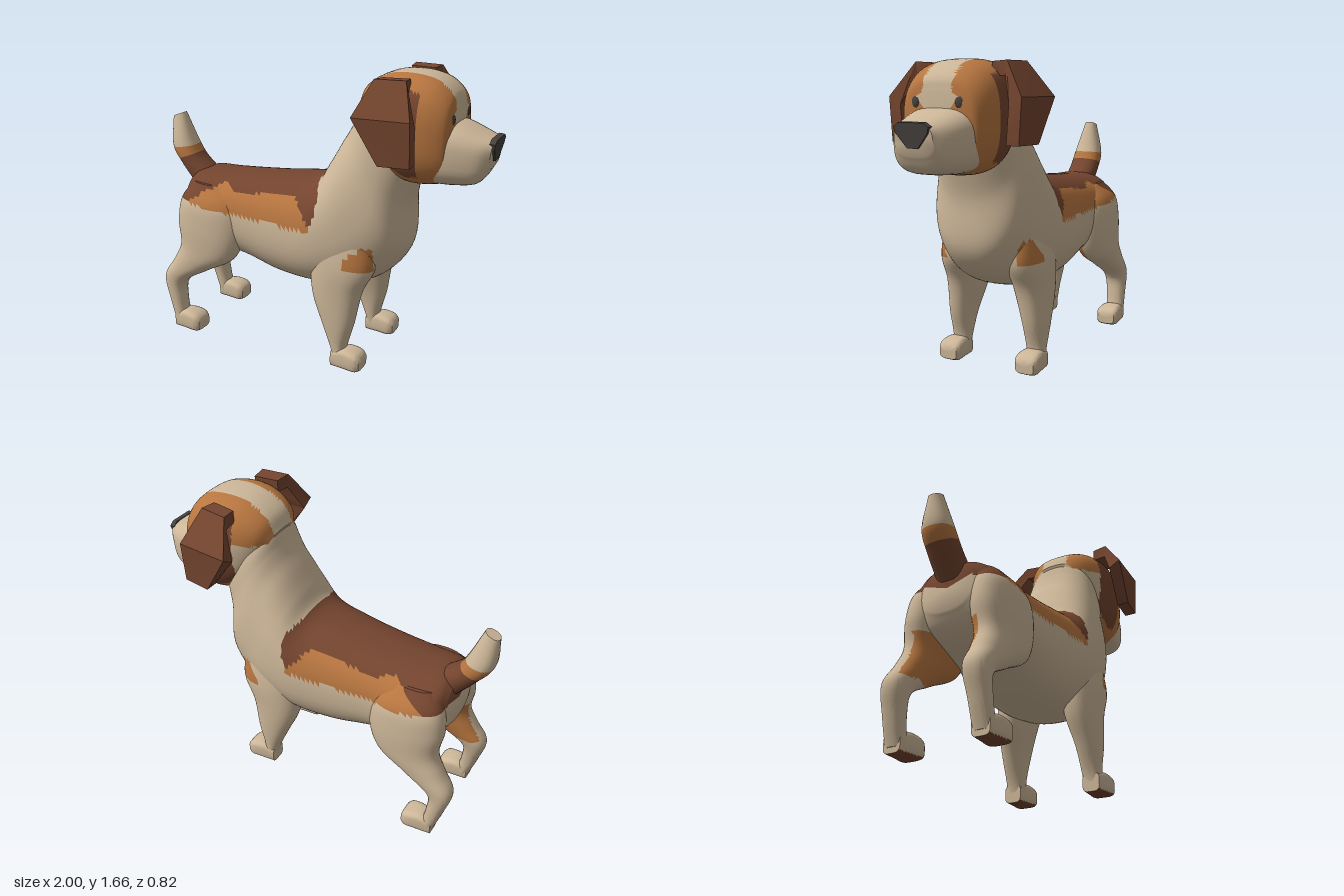
import * as THREE from 'three';
import { toCreasedNormals } from 'three/addons/utils/BufferGeometryUtils.js';

const mat = (name, color) => Object.assign(new THREE.MeshStandardMaterial({ color }), { name });
const CREAM = 0, TAN = 1, BROWN = 2, DARK = 3;
const materials = [mat('cream', 0xcdb799), mat('tan', 0xb87640), mat('brown', 0x74452f), mat('charcoal', 0x46423d)];

// Piecewise linear interpolation through [x, y] points
function along(points, x) {
  if (x <= points[0][0]) return points[0][1];
  for (let i = 1; i < points.length; i++) {
    const [x0, y0] = points[i - 1], [x1, y1] = points[i];
    if (x <= x1) return y0 + (y1 - y0) * (x - x0) / (x1 - x0);
  }
  return points[points.length - 1][1];
}

// Rounded ring spanned by two points in the xy plane and a half width in z
function ring([ax, ay, bx, by, w, z = 0], n, power) {
  const soft = v => Math.sign(v) * Math.abs(v) ** (2 / power);
  return Array.from({ length: n }, (_, j) => {
    const t = j / n * Math.PI * 2, c = soft(Math.cos(t)) / 2, s = soft(Math.sin(t));
    return new THREE.Vector3((ax + bx) / 2 + (ax - bx) * c, (ay + by) / 2 + (ay - by) * c, z + s * w);
  });
}

// Closed skin through rings; paint(x, y, z, u) picks the material of each face
function skin(name, rings, steps, paint, crease = 0.8) {
  const n = rings[0].length, rows = (rings.length - 1) * steps, pts = [], tris = [];
  const curves = rings[0].map((_, j) => new THREE.CatmullRomCurve3(rings.map(r => r[j])));
  for (let i = 0; i <= rows; i++) for (const c of curves) pts.push(c.getPoint(i / rows));
  for (let i = 0; i < rows; i++) for (let j = 0; j < n; j++) {
    const a = i * n + j, b = i * n + (j + 1) % n;
    tris.push([a, b, b + n, i], [a, b + n, a + n, i]);
  }
  for (const row of [0, rows]) {
    const mid = new THREE.Vector3();
    for (let j = 0; j < n; j++) mid.addScaledVector(pts[row * n + j], 1 / n);
    const m = pts.push(mid) - 1;
    for (let j = 0; j < n; j++) {
      const a = row * n + j, b = row * n + (j + 1) % n;
      tris.push(row ? [a, b, m, row] : [b, a, m, row]);
    }
  }
  // Turn all faces outwards
  const v = new THREE.Vector3();
  const volume = tris.reduce((s, [a, b, c]) => s + pts[a].dot(v.crossVectors(pts[b], pts[c])), 0);
  const buckets = materials.map(() => []);
  for (const [a, b, c, i] of tris) {
    v.copy(pts[a]).add(pts[b]).add(pts[c]).divideScalar(3);
    buckets[paint(v.x, v.y, v.z, i / steps)].push(...(volume > 0 ? [a, b, c] : [a, c, b]));
  }
  const geo = new THREE.BufferGeometry().setFromPoints(pts);
  geo.setIndex(buckets.flat());
  let start = 0;
  buckets.forEach((b, k) => {
    if (b.length) geo.addGroup(start, b.length, k);
    start += b.length;
  });
  const mesh = new THREE.Mesh(toCreasedNormals(geo, crease), materials);
  mesh.name = name;
  return mesh;
}

const loft = (name, sections, paint, { n = 40, power = 2.3, steps = 6 } = {}) =>
  skin(name, sections.map(s => ring(s, n, power)), steps, paint);

// Coat markings shared by torso and legs
const saddleEdge = [[-0.85, 0.84], [-0.74, 0.84], [-0.53, 0.95], [-0.43, 0.91], [-0.05, 0.96], [0.06, 0.83], [0.09, 0.79]];
const patchEdge = [[-0.8, 0.84], [-0.45, 0.79], [0.1, 0.79]];
function coat(x, y, z) {
  const front = along([[0.8, 0.07], [0.9, 0.105], [1, 0.11], [1.06, 0.06]], y);
  if (x < front && y > along(patchEdge, x)) return y > along(saddleEdge, x) ? BROWN : TAN;
  const spot = y > 0.6 && y < 0.73 && x > 0.28 + Math.max(0, y - 0.65) * 0.9 && x < 0.42;
  return spot && Math.abs(z) > 0.2 ? TAN : CREAM;
}

function headPaint(x, y, z) {
  const side = Math.abs(z);
  if (side < 0.085 && y > 1.3) return CREAM;
  if (x < 0.44 && y < 1.45) return CREAM;
  return side > 0.215 && x > 0.44 && x < 0.64 ? BROWN : TAN;
}

export function createModel() {
  const dog = new THREE.Group();
  dog.name = 'dog';

  // Torso and neck: top x, y, bottom x, y, half width
  dog.add(loft('torso', [
    [-0.82, 0.94, -0.84, 0.68, 0.15], [-0.77, 0.97, -0.78, 0.6, 0.23], [-0.6, 0.98, -0.6, 0.52, 0.26],
    [-0.4, 0.995, -0.42, 0.49, 0.265], [-0.15, 1.02, -0.18, 0.43, 0.29], [0.05, 1.06, 0.07, 0.42, 0.315],
    [0.12, 1.17, 0.3, 0.46, 0.31], [0.18, 1.28, 0.44, 0.54, 0.29], [0.22, 1.35, 0.54, 0.68, 0.27],
    [0.25, 1.42, 0.55, 0.95, 0.24], [0.28, 1.5, 0.58, 1.08, 0.22], [0.36, 1.56, 0.6, 1.15, 0.19],
  ], coat, { n: 64, power: 2.4, steps: 8 }));

  // Tail with banded colours
  dog.add(loft('tail', [
    [-0.83, 0.85, -0.72, 0.96, 0.09], [-0.93, 0.98, -0.81, 1.04, 0.09],
    [-0.995, 1.08, -0.845, 1.1, 0.085], [-1, 1.26, -0.92, 1.29, 0.035],
  ], (x, y, z, u) => u < 1.3 ? BROWN : u < 2 ? TAN : CREAM, { n: 20, steps: 10 }));

  // Head and muzzle
  dog.add(loft('head', [
    [0.265, 1.5, 0.36, 1.25, 0.14], [0.31, 1.58, 0.42, 1.18, 0.2], [0.43, 1.645, 0.5, 1.11, 0.25],
    [0.58, 1.655, 0.58, 1.085, 0.27], [0.7, 1.625, 0.7, 1.09, 0.25], [0.775, 1.56, 0.77, 1.11, 0.21],
    [0.79, 1.5, 0.785, 1.15, 0.17],
  ], headPaint, { n: 64, power: 2.8, steps: 8 }));
  dog.add(loft('muzzle', [
    [0.7, 1.43, 0.7, 1.1, 0.22], [0.8, 1.415, 0.8, 1.1, 0.2], [0.93, 1.37, 0.915, 1.12, 0.155],
    [0.985, 1.35, 0.97, 1.2, 0.11],
  ], () => CREAM, { power: 3 }));

  // Nose
  const outline = new THREE.Shape([[-0.1, 0.04], [-0.07, 0.06], [0.07, 0.06], [0.1, 0.04], [0.09, 0.01], [0.03, -0.06], [-0.03, -0.06], [-0.09, 0.01]]
    .map(p => new THREE.Vector2(...p)));
  const noseGeo = new THREE.ExtrudeGeometry(outline, { depth: 0.03, bevelEnabled: false });
  const nose = new THREE.Mesh(noseGeo.rotateY(Math.PI / 2).rotateZ(-0.12), materials[DARK]);
  nose.name = 'nose';
  nose.position.set(0.962, 1.3, 0);
  dog.add(nose);

  for (const s of [1, -1]) {
    const side = s > 0 ? 'back' : 'front';
    const part = s > 0 ? 'right' : 'left';
    const place = rows => rows.map(r => [...r.slice(0, 5), s * r[5]]);

    // Legs: rear x, y, front x, y, half width, z
    dog.add(loft(part + 'HindLeg', place([
      [-0.76, 0.93, -0.52, 0.92, 0.07, 0.14], [-0.82, 0.84, -0.43, 0.82, 0.11, 0.18], [-0.845, 0.7, -0.41, 0.68, 0.115, 0.195],
      [-0.83, 0.55, -0.47, 0.5, 0.1, 0.21], [-0.88, 0.44, -0.64, 0.4, 0.085, 0.22], [-0.945, 0.33, -0.81, 0.29, 0.07, 0.23],
      [-0.915, 0.18, -0.815, 0.17, 0.058, 0.24], [-0.87, 0.03, -0.79, 0.03, 0.055, 0.245],
    ]), (x, y, z) => Math.abs(z) < 0.19 && y > 0.36 && y < 0.62 ? TAN : coat(x, y, z)));
    dog.add(loft(part + 'FrontLeg', place([
      [0.08, 0.82, 0.4, 0.8, 0.08, 0.2], [0.05, 0.62, 0.42, 0.6, 0.105, 0.205], [0.06, 0.43, 0.355, 0.46, 0.095, 0.215],
      [0.13, 0.25, 0.315, 0.26, 0.07, 0.235], [0.19, 0.1, 0.275, 0.1, 0.055, 0.24], [0.205, 0.03, 0.29, 0.03, 0.055, 0.245],
    ]), coat));

    // Paws with brown soles
    for (const [label, x] of [['HindPaw', -0.865], ['FrontPaw', 0.2]]) {
      dog.add(loft(part + label, place([
        [x, 0.1, x, 0, 0.05, 0.245], [x + 0.08, 0.12, x + 0.08, 0, 0.063, 0.245],
        [x + 0.155, 0.105, x + 0.155, 0, 0.068, 0.245], [x + 0.178, 0.085, x + 0.178, 0.01, 0.055, 0.245],
      ]), (px, y) => y < 0.012 ? BROWN : CREAM, { n: 32, power: 4, steps: 4 }));
    }

    // Folded ear: x range, outer z, y, inner z, y
    const ear = [
      [0.44, 0.58, 0.19, 1.64, 0.19, 1.57], [0.43, 0.59, 0.28, 1.645, 0.27, 1.57],
      [0.36, 0.66, 0.4, 1.47, 0.33, 1.43], [0.5, 0.66, 0.385, 1.24, 0.315, 1.24],
    ].map(([x0, x1, zo, yo, zi, yi]) => [[x0, yo, zo + 0.01], [x1, yo, zo - 0.01], [x1, yi, zi - 0.01], [x0, yi, zi + 0.01]]
      .map(([x, y, z]) => new THREE.Vector3(x, y, s * z)));
    dog.add(skin(part + 'Ear', ear, 1, () => BROWN, 0.4));

    // Eye
    const eye = new THREE.Mesh(new THREE.SphereGeometry(0.04, 16, 12), materials[DARK]);
    eye.name = part + 'Eye';
    eye.scale.set(0.5, 1, 1);
    eye.rotation.y = -s * 0.5;
    eye.position.set(0.77, 1.445, s * 0.14);
    dog.add(eye);
  }
  return dog;
}
